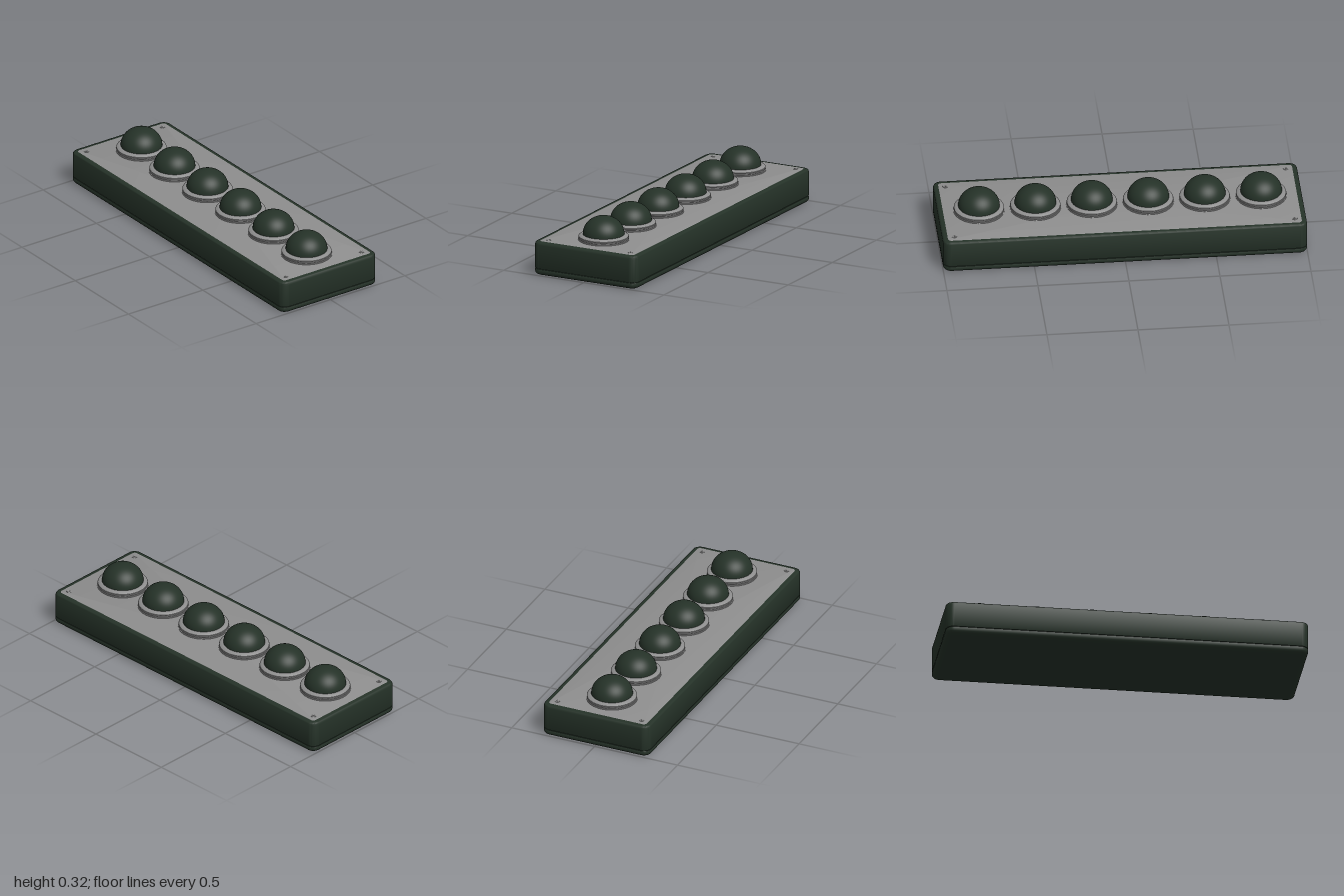
import * as THREE from 'three';
import { toCreasedNormals } from 'three/addons/utils/BufferGeometryUtils.js';

const CORNER_STEPS = 8;

// Stacks rounded rectangles, given as [inset, y] from bottom to top, and caps both ends
function roundedStack(halfX, halfZ, radius, profile) {
  const pos = [], index = [];
  const n = 4 * (CORNER_STEPS + 1);
  for (const [inset, y] of profile) {
    const r = Math.max(radius - inset, 0.004);
    for (let c = 0; c < 4; c++) {
      const sx = c === 0 || c === 3 ? 1 : -1;
      const sz = c < 2 ? 1 : -1;
      for (let s = 0; s <= CORNER_STEPS; s++) {
        const a = (c + s / CORNER_STEPS) * Math.PI / 2;
        pos.push(
          sx * (halfX - inset - r) + r * Math.cos(a), y,
          sz * (halfZ - inset - r) + r * Math.sin(a));
      }
    }
  }
  const last = profile.length - 1;
  pos.push(0, profile[0][1], 0, 0, profile[last][1], 0);
  const bottom = n * profile.length, top = bottom + 1;
  for (let j = 0; j < n; j++) {
    const k = (j + 1) % n;
    for (let i = 0; i < last; i++) {
      const a = i * n + j, b = i * n + k;
      index.push(a, a + n, b, b, a + n, b + n);
    }
    index.push(bottom, j, k, top, last * n + k, last * n + j);
  }
  const g = new THREE.BufferGeometry();
  g.setAttribute('position', new THREE.Float32BufferAttribute(pos, 3));
  g.setIndex(index);
  return toCreasedNormals(g, 0.6);
}

const lathe = (points, segments) =>
  new THREE.LatheGeometry(points.map(([r, y]) => new THREE.Vector2(r, y)), segments);

// Screw head: a disc with a cross-shaped recess
function screwGeometry() {
  const shape = new THREE.Shape();
  shape.absarc(0, 0, 0.012, 0, Math.PI * 2);
  const w = 0.002, l = 0.008;
  const cross = [[w, w], [w, l], [-w, l], [-w, w], [-l, w], [-l, -w],
    [-w, -w], [-w, -l], [w, -l], [w, -w], [l, -w], [l, w]];
  shape.holes.push(new THREE.Path(cross.map(([x, y]) => new THREE.Vector2(x, y))));
  const g = new THREE.ExtrudeGeometry(shape, {
    depth: 0.002, bevelThickness: 0.002, bevelSize: 0.002,
    bevelSegments: 2, curveSegments: 16,
  });
  return g.rotateX(-Math.PI / 2);
}

export function createModel() {
  const model = new THREE.Group();
  model.name = 'buttonPanel';
  const green = new THREE.MeshStandardMaterial({ color: 0x253228 });
  green.name = 'darkGreen';
  const grey = new THREE.MeshStandardMaterial({ color: 0x8e8e8e });
  grey.name = 'metalGrey';

  const add = (parent, name, geometry, material, x = 0, y = 0, z = 0) => {
    const mesh = new THREE.Mesh(geometry, material);
    mesh.name = name;
    mesh.position.set(x, y, z);
    parent.add(mesh);
  };

  // Case with rounded edges; the seam separates base and housing
  add(model, 'base', roundedStack(1, 0.322, 0.045, [
    [0.03, 0], [0.018, 0.002], [0.008, 0.007], [0.002, 0.014], [0, 0.021],
    [0, 0.033], [0.002, 0.036], [0.005, 0.037], [0.005, 0.04],
  ]), green);
  add(model, 'housing', roundedStack(1, 0.322, 0.045, [
    [0.005, 0.038], [0.002, 0.039], [0, 0.042], [0, 0.172],
    [0.001, 0.179], [0.005, 0.185], [0.011, 0.188], [0.018, 0.189],
  ]), green);

  // Top plate with a bevelled edge
  add(model, 'topPlate', roundedStack(0.972, 0.294, 0.018, [
    [0, 0.187], [0, 0.189], [0.008, 0.191],
  ]), grey);

  // Corner screws
  const screw = screwGeometry();
  for (const x of [-0.935, 0.935])
    for (const z of [-0.255, 0.255]) add(model, 'screw', screw, grey, x, 0.189, z);

  // Six domed buttons in stepped collars
  const collar = toCreasedNormals(lathe([
    [0.14, 0.188], [0.14, 0.194], [0.136, 0.196], [0.136, 0.198],
    [0.138, 0.2], [0.138, 0.204], [0.136, 0.206], [0.138, 0.208],
    [0.137, 0.212], [0.125, 0.221], [0.122, 0.222], [0.112, 0.222], [0.112, 0.2],
  ], 48), 0.5);
  const domePoints = [[0.114, 0.205]];
  for (let i = 0; i <= 16; i++) {
    const a = (i / 16) * Math.PI / 2;
    domePoints.push([0.114 * Math.cos(a), 0.223 + 0.1 * Math.sin(a)]);
  }
  const dome = lathe(domePoints, 48);
  for (let i = 0; i < 6; i++) {
    const button = new THREE.Group();
    button.name = 'button';
    button.position.x = (i - 2.5) * 0.31;
    add(button, 'collar', collar, grey);
    add(button, 'dome', dome, green);
    model.add(button);
  }
  return model;
}
